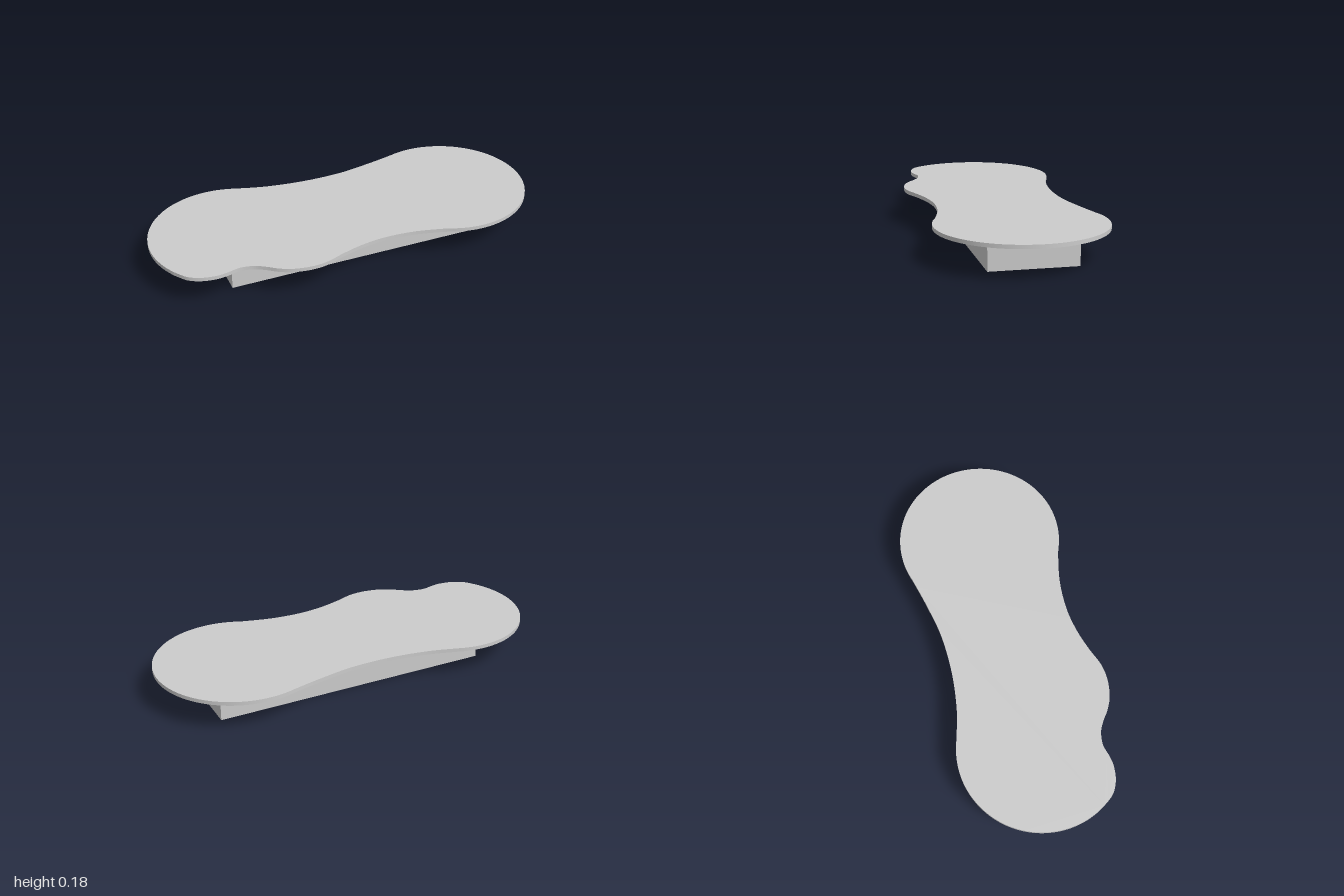
import * as THREE from 'three';
import { toCreasedNormals } from 'three/addons/utils/BufferGeometryUtils.js';

const RAD = Math.PI / 180;
const points = (pairs) => pairs.map(([x, z]) => new THREE.Vector2(x, -z));

// Outline of the top: two round ends joined by flowing edges (shape y is -z)
function topOutline() {
  const r = 0.43;
  const shape = new THREE.Shape();
  shape.absarc(0.57, 0.18, r, 128 * RAD, -90 * RAD, true);
  // Front edge with its small notch
  shape.splineThru(points([
    [0.5, 0.25], [0.35, 0.267], [0.2, 0.31], [0.08, 0.37], [-0.02, 0.44],
    [-0.1, 0.505], [-0.18, 0.542], [-0.27, 0.557], [-0.34, 0.55], [-0.4, 0.532],
    [-0.46, 0.521], [-0.53, 0.533], [-0.59, 0.57], [-0.64, 0.593], [-0.71, 0.605],
    [-0.78, 0.594], [-0.843, 0.552],
  ]));
  shape.absarc(-0.57, -0.22, r, -129.5 * RAD, -270 * RAD, true);
  // Back edge
  shape.splineThru(points([
    [-0.4, -0.222], [-0.2, -0.265], [0, -0.338], [0.17, -0.433], [0.305, -0.519],
  ]));
  return shape;
}

export function createModel() {
  const group = new THREE.Group();
  const material = new THREE.MeshStandardMaterial({ color: 0xcccccc });

  // Thin curved top
  const slab = new THREE.ExtrudeGeometry(topOutline(), {
    depth: 0.02, bevelEnabled: false, curveSegments: 48,
  });
  slab.rotateX(-Math.PI / 2);
  const top = new THREE.Mesh(toCreasedNormals(slab, 25 * RAD), material);
  top.name = 'tableTop';
  top.position.y = 0.16;

  // Solid block base, set diagonally along the top
  const base = new THREE.Mesh(new THREE.BoxGeometry(1.48, 0.16, 0.45), material);
  base.name = 'base';
  base.position.set(0.0475, 0.08, -0.01);
  base.rotation.y = 19.5 * RAD;

  group.add(top, base);
  return group;
}
